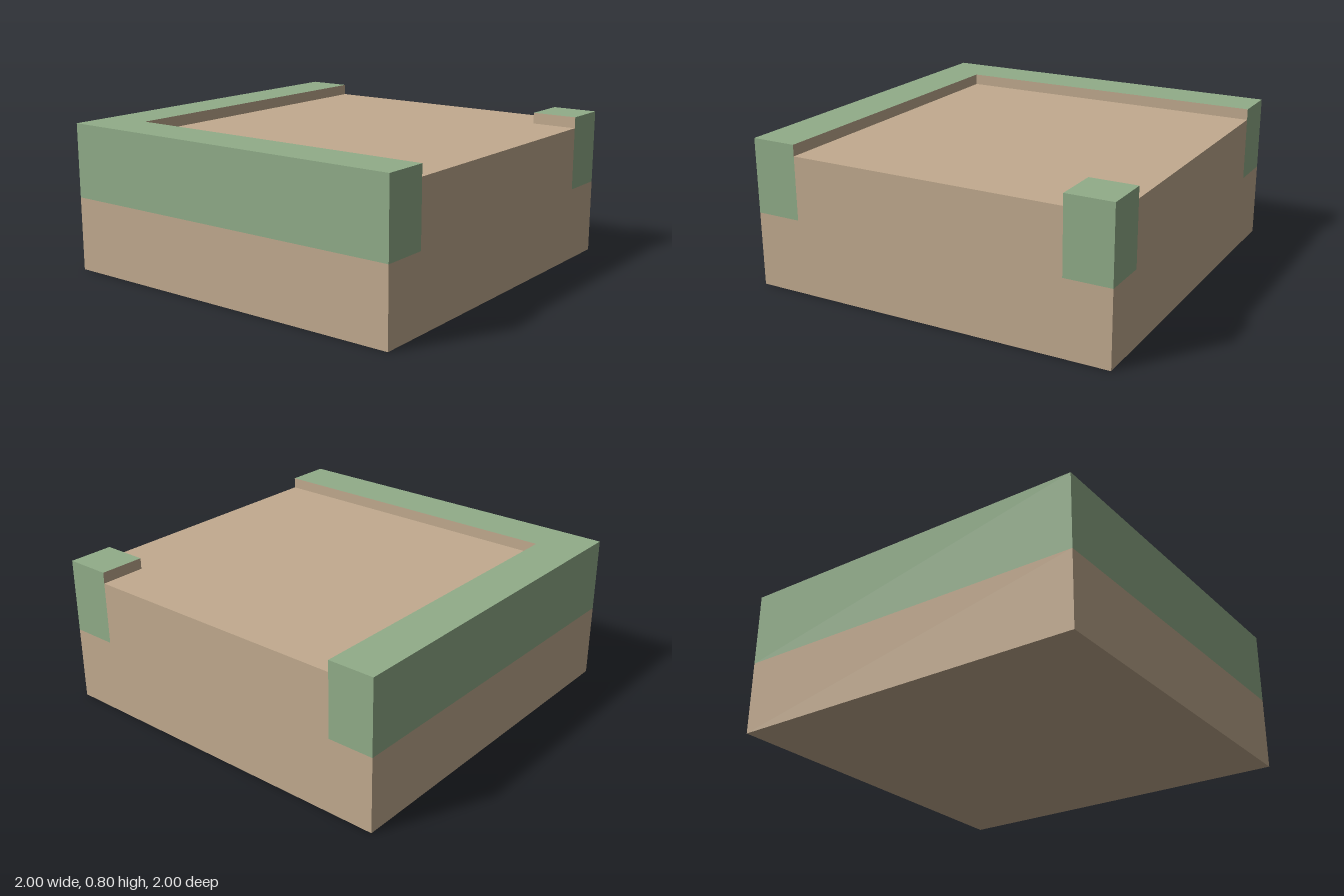
import * as THREE from 'three';

const earth = new THREE.MeshStandardMaterial({ color: 0xc2ab8f });
earth.name = 'earth';
const grass = new THREE.MeshStandardMaterial({ color: 0x91ad89 });
grass.name = 'grass';

const TOP = 0.8, FLOOR = 0.74, MID = 0.4, IN = 0.75;

// Upright wall following [x, z] points; it faces right of the path's travel as seen from above
function walls(path, y0, y1) {
  const pos = [];
  for (let i = 0; i + 1 < path.length; i++) {
    const [ax, az] = path[i], [bx, bz] = path[i + 1];
    pos.push(ax, y0, az, bx, y0, bz, bx, y1, bz, ax, y0, az, bx, y1, bz, ax, y1, az);
  }
  const geo = new THREE.BufferGeometry();
  geo.setAttribute('position', new THREE.Float32BufferAttribute(pos, 3));
  geo.computeVertexNormals();
  return geo;
}

// Level surface facing up, outlined by [x, z] points
function level(outline, y) {
  const shape = new THREE.Shape(outline.map(([x, z]) => new THREE.Vector2(x, -z)));
  return new THREE.ShapeGeometry(shape).rotateX(-Math.PI / 2).translate(0, y, 0);
}

export function createModel() {
  const model = new THREE.Group();
  model.name = 'groundTile';
  const add = (name, geo, mat) => {
    const mesh = new THREE.Mesh(geo, mat);
    mesh.name = name;
    model.add(mesh);
  };

  // Square earth base
  add('baseSides', walls([[-1, 1], [1, 1], [1, -1], [-1, -1], [-1, 1]], 0, MID), earth);
  add('baseUnderside', new THREE.PlaneGeometry(2, 2).rotateX(Math.PI / 2), earth);

  // Sunken path with its exposed outer sides
  add('pathFloor', level([[-IN, IN], [1, IN], [1, -IN], [IN, -IN], [IN, -1], [-IN, -1]], FLOOR), earth);
  add('pathSideLeft', walls([[1, IN], [1, -IN]], MID, FLOOR), earth);
  add('pathSideBack', walls([[IN, -1], [-IN, -1]], MID, FLOOR), earth);

  // L-shaped grass verge along the front and right edges
  add('vergeTop', level([[-1, 1], [1, 1], [1, IN], [-IN, IN], [-IN, -1], [-1, -1]], TOP), grass);
  add('vergeSides', walls([[-IN, -1], [-1, -1], [-1, 1], [1, 1], [1, IN]], MID, TOP), grass);
  add('vergeKerb', walls([[1, IN], [-IN, IN], [-IN, -1]], FLOOR, TOP), earth);

  // Small grass block in the back left corner
  add('cornerTop', level([[IN, -IN], [1, -IN], [1, -1], [IN, -1]], TOP), grass);
  add('cornerSides', walls([[1, -IN], [1, -1], [IN, -1]], MID, TOP), grass);
  add('cornerKerb', walls([[IN, -1], [IN, -IN], [1, -IN]], FLOOR, TOP), earth);

  return model;
}
